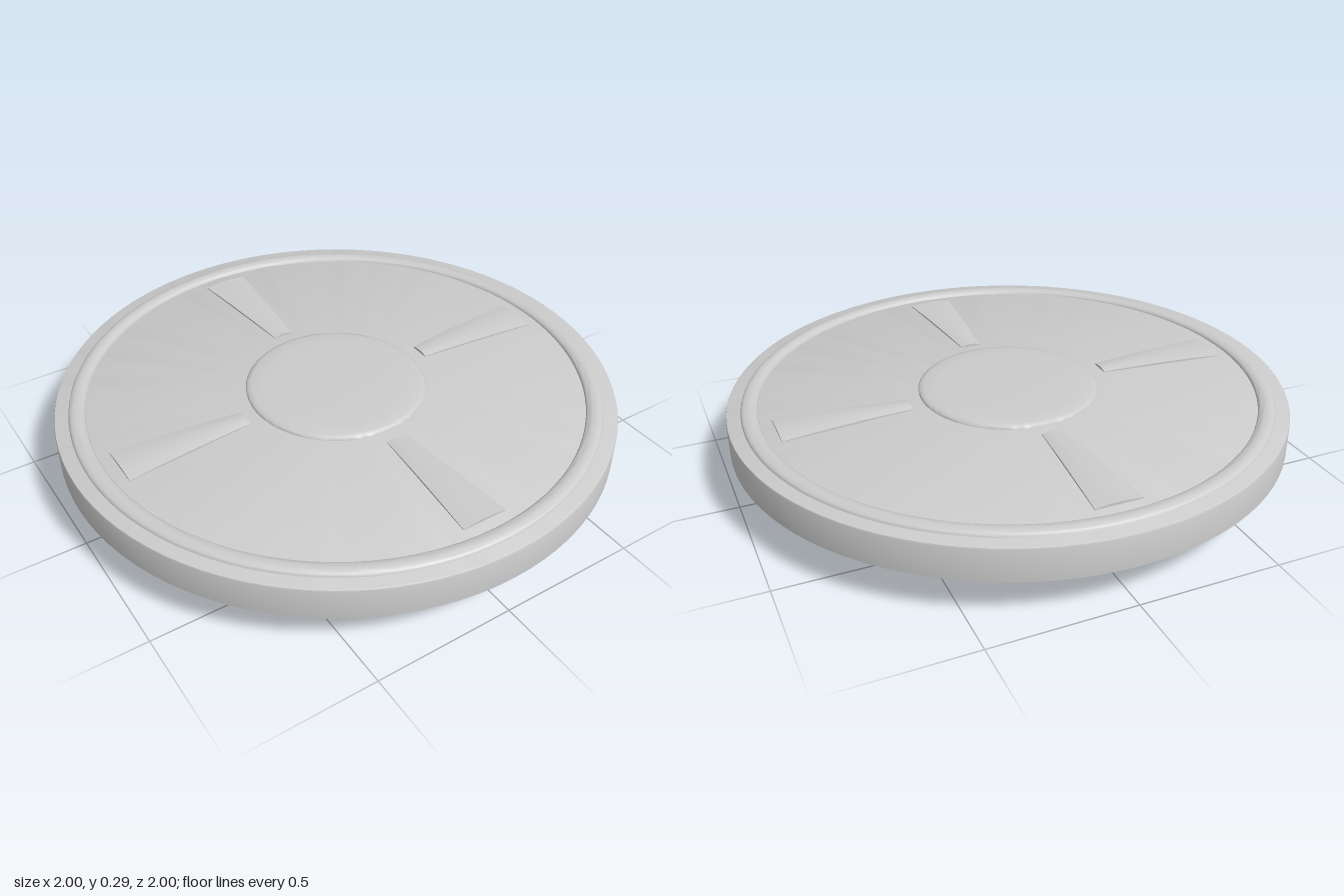
import * as THREE from 'three';
import { toCreasedNormals } from 'three/addons/utils/BufferGeometryUtils.js';

const SEGMENTS = 96;
const DECK = 0.265; // height of the flat top
const material = new THREE.MeshStandardMaterial({ color: 0xcccccc });

function addPart(parent, name, geometry) {
  const mesh = new THREE.Mesh(geometry, material);
  mesh.name = name;
  parent.add(mesh);
  return mesh;
}

// Round part from [radius, height] points, listed from bottom to top
function turned(profile, crease = 0.45) {
  const points = profile.map(([r, y]) => new THREE.Vector2(r, y));
  return toCreasedNormals(new THREE.LatheGeometry(points, SEGMENTS), crease);
}

// Tapered, gently domed pad pointing along +x
function padGeometry(inner, outer, innerHalf, outerHalf, rise) {
  const geometry = new THREE.BoxGeometry(1, 1, 1, 8, 1, 6);
  const p = geometry.attributes.position;
  for (let i = 0; i < p.count; i++) {
    const u = p.getX(i) + 0.5;
    const v = p.getZ(i) * 2;
    const half = THREE.MathUtils.lerp(innerHalf, outerHalf, u);
    const dome = (1 - (2 * u - 1) ** 2) * 0.4 + (1 - v * v) * 0.6;
    const y = p.getY(i) > 0 ? DECK + 0.003 + rise * dome : DECK - 0.01;
    p.setXYZ(i, THREE.MathUtils.lerp(inner, outer, u), y, v * half);
  }
  geometry.computeVertexNormals();
  return geometry;
}

export function createModel() {
  const model = new THREE.Group();
  model.name = 'roundPlate';

  // Dish-shaped body with a flat foot, sloped underside and upright rim
  addPart(model, 'body', turned([
    [0, 0], [0.59, 0], [1, 0.146], [1, 0.258],
    [0.998, 0.263], [0.993, DECK], [0, DECK],
  ]));

  // Rounded ring set into the top edge
  const ring = [];
  for (let i = 0; i <= 10; i++) {
    const a = (i / 10) * Math.PI;
    ring.push([0.92 + 0.03 * Math.cos(a), DECK + 0.015 * Math.sin(a)]);
  }
  addPart(model, 'rimRing', turned(ring, 0.8));

  // Low centre button with a rounded edge
  addPart(model, 'centreButton', turned([
    [0.325, DECK - 0.01], [0.325, 0.27], [0.32, 0.275], [0.305, 0.279],
    [0.26, 0.282], [0.18, 0.284], [0.09, 0.2855], [0, 0.286],
  ], 0.8));

  // Four radial pads
  const pads = new THREE.Group();
  pads.name = 'pads';
  model.add(pads);
  const pad = padGeometry(0.375, 0.845, 0.037, 0.083, 0.011);
  for (let i = 0; i < 4; i++) {
    addPart(pads, 'pad', pad).rotation.y = (i * Math.PI) / 2;
  }

  return model;
}
